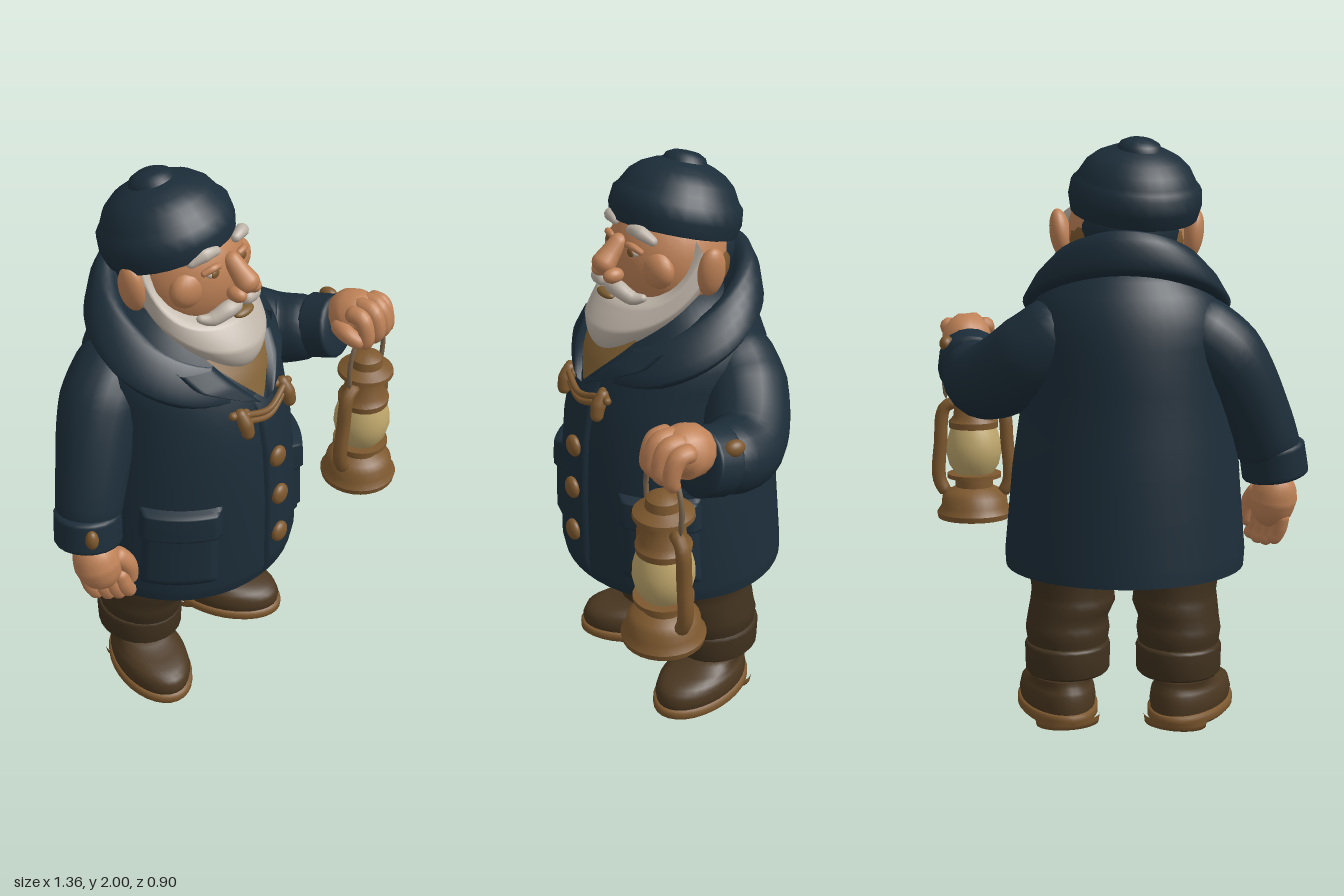
import * as THREE from 'three';
import { mergeVertices, toCreasedNormals } from 'three/addons/utils/BufferGeometryUtils.js';
import { ParametricGeometry } from 'three/addons/geometries/ParametricGeometry.js';

const material = (name, color, side = THREE.FrontSide) => {
  const m = new THREE.MeshStandardMaterial({ color, side });
  m.name = name;
  return m;
};
const M = {
  coat: material('navy wool', 0x1c2d39, THREE.DoubleSide),
  trousers: material('brown cloth', 0x40311e),
  boot: material('boot leather', 0x4a3720),
  brass: material('brass brown', 0x7d582e),
  skin: material('skin', 0xbf8257),
  white: material('white hair', 0xbeb4a8, THREE.DoubleSide),
  ochre: material('ochre knit', 0x806033, THREE.DoubleSide),
  glass: material('lamp glass', 0xbfa76c),
  sock: material('grey sock', 0x35363a),
  wire: material('wire', 0x77634c),
};

const lerp = THREE.MathUtils.lerp;
const TAU = Math.PI * 2;
const CX = -0.055; // body axis

export function createModel() {
  const root = new THREE.Group();
  root.name = 'sailorWithLantern';

  const add = (name, mat, geo, parent = root) => {
    const mesh = new THREE.Mesh(geo, mat);
    mesh.name = name;
    parent.add(mesh);
    return mesh;
  };
  const smooth = (geo) => {
    geo.deleteAttribute('uv');
    geo.deleteAttribute('normal');
    const g = mergeVertices(geo, 1e-5);
    g.computeVertexNormals();
    return g;
  };
  // Surface from a function (u, v) => [x, y, z]
  const surf = (name, mat, f, nu, nv, parent) =>
    add(name, mat, smooth(new ParametricGeometry((u, v, p) => p.set(...f(u, v)), nu, nv)), parent);
  // Point on stacked ellipses, each ring [y, cx, rx, zFront, zBack]
  const ringPoint = (rings, a, t) => {
    const i = Math.min(Math.floor(t), rings.length - 2);
    const [y, cx, rx, zf, zb] = rings[i].map((q, k) => lerp(q, rings[i + 1][k], t - i));
    return [cx + rx * Math.sin(a), y, (zf + zb) / 2 + ((zf - zb) / 2) * Math.cos(a)];
  };
  const loft = (name, mat, rings, parent, nu = 32) =>
    surf(name, mat, (u, v) => ringPoint(rings, u * TAU, v * (rings.length - 1)), nu, (rings.length - 1) * 2, parent);
  // Round-ended limb through points [x, y, z, radius]
  const limb = (name, mat, pts, cap = 1, radial = 14, parent = root) => {
    const curve = new THREE.CatmullRomCurve3(pts.map((p) => new THREE.Vector3(p[0], p[1], p[2])));
    const n = 24, L = curve.getLength();
    const geo = new THREE.TubeGeometry(curve, n, 1, radial);
    const pos = geo.attributes.position, v = new THREE.Vector3();
    for (let i = 0; i <= n; i++) {
      const u = i / n, c = curve.getPointAt(u), t = u * (pts.length - 1);
      const k = Math.min(Math.floor(t), pts.length - 2);
      const r = lerp(pts[k][3], pts[k + 1][3], t - k);
      const e = Math.min(1, (Math.min(u, 1 - u) * L) / (r * cap));
      const s = r * Math.sqrt(1 - (1 - e) ** 2);
      for (let j = 0; j <= radial; j++) {
        const q = i * (radial + 1) + j;
        v.fromBufferAttribute(pos, q).sub(c).multiplyScalar(s).add(c);
        pos.setXYZ(q, v.x, v.y, v.z);
      }
    }
    return add(name, mat, smooth(geo), parent);
  };
  const ball = (name, mat, p, s, parent) => {
    const m = add(name, mat, new THREE.SphereGeometry(1, 24, 16), parent);
    m.position.set(...p);
    m.scale.set(...s);
    return m;
  };
  const lathe = (name, mat, pts, parent) => add(name, mat, toCreasedNormals(
    new THREE.LatheGeometry(pts.map((p) => new THREE.Vector2(...p)), 28), 0.7), parent);

  // Coat body
  const torso = [
    [0.55, -0.05, 0.412, 0.32, -0.45], [0.6, -0.05, 0.416, 0.33, -0.447], [0.9, -0.052, 0.39, 0.325, -0.425],
    [1.1, CX, 0.363, 0.31, -0.405], [1.25, CX, 0.347, 0.28, -0.395], [1.38, CX, 0.345, 0.22, -0.375],
    [1.48, CX, 0.3, 0.15, -0.34], [1.58, CX, 0.21, 0.08, -0.27], [1.62, CX, 0, -0.1, -0.1],
  ];
  loft('coatBody', M.coat, torso, root, 48);
  const coatPoint = (a, y, off = 0) => {
    let i = 0;
    while (i < torso.length - 2 && torso[i + 1][0] < y) i++;
    const p = ringPoint(torso, a, i + (y - torso[i][0]) / (torso[i + 1][0] - torso[i][0]));
    return [p[0] + Math.sin(a) * off, p[1], p[2] + Math.cos(a) * off];
  };
  surf('coatUnderside', M.coat, (u, v) => {
    const [x, , z] = coatPoint(u * TAU, 0.55);
    return [lerp(-0.05, x, v), 0.55 + 0.07 * Math.min(1, (1 - v) * 5), lerp(-0.06, z, v)];
  }, 48, 10);
  // Raised panel that follows the coat
  const panel = (name, mat, a0, a1, y0, y1, t) => surf(name, mat, (u, v) =>
    coatPoint(lerp(a0, a1, u), lerp(y0, y1, v), t * Math.min(1, 10 * Math.min(u, 1 - u, v, 1 - v))), 20, 20);
  panel('buttonPlacket', M.coat, -0.1, 0.2, 0.555, 1.3, 0.014);
  for (const s of [-1, 1]) {
    const [lo, hi] = s < 0 ? [-1.27, -0.58] : [0.58, 1.27];
    panel('pocket', M.coat, lo, hi, 0.63, 0.9, 0.022);
    panel('pocketFlap', M.coat, lo - 0.03, hi + 0.03, 0.83, 0.95, 0.032);
  }

  // Buttons and toggle fastening
  for (const y of [1.06, 0.9, 0.73]) ball('button', M.brass, coatPoint(0.04, y, 0.02), [0.037, 0.039, 0.022]);
  for (const x of [-0.165, 0.065]) {
    limb('toggle', M.brass, [[x - 0.005, 1.3, 0.26, 0.018], [x, 1.25, 0.29, 0.025], [x + 0.005, 1.195, 0.302, 0.02]]);
    limb('toggleLoop', M.brass, [[x - 0.04, 1.285, 0.255, 0.014], [x + 0.04, 1.27, 0.275, 0.014]]);
  }
  for (const y of [1.265, 1.24]) limb('toggleCord', M.brass,
    [[-0.165, y + 0.015, 0.28, 0.011], [-0.05, y - 0.015, 0.3, 0.011], [0.065, y + 0.015, 0.28, 0.011]]);

  // Sweater opening
  surf('sweaterFront', M.ochre, (u, v) => coatPoint((u - 0.5) * 0.9 * v, lerp(1.29, 1.46, v), 0.018), 12, 8);
  limb('sweaterNeck', M.ochre, [[CX, 1.4, -0.03, 0.17], [CX, 1.6, -0.07, 0.17]], 0.3);

  // Folded collar, high at the back and open at the front: [rx, zFront, zBack, y, tilt]
  const collar = [
    [0.28, 0.17, -0.28, 1.42, 0.13], [0.34, 0.235, -0.33, 1.42, 0.135], [0.353, 0.252, -0.352, 1.445, 0.135],
    [0.315, 0.234, -0.348, 1.505, 0.142], [0.265, 0.207, -0.33, 1.552, 0.142], [0.235, 0.187, -0.295, 1.553, 0.145],
    [0.205, 0.15, -0.255, 1.51, 0.14], [0.17, 0.12, -0.2, 1.46, 0.13],
  ];
  surf('collar', M.coat, (u, v) => {
    const a = lerp(0.34, TAU - 0.34, u), t = v * 7, i = Math.min(6, Math.floor(t));
    const [rx, zf, zb, y, tilt] = collar[i].map((q, k) => lerp(q, collar[i + 1][k], t - i));
    return [CX + rx * Math.sin(a), y - tilt * Math.cos(a), (zf + zb) / 2 + ((zf - zb) / 2) * Math.cos(a)];
  }, 44, 14);
  // Flat lapels bordering the opening
  for (const s of [-1, 1]) surf('lapel', M.coat, (u, v) => coatPoint(
    s * (lerp(0.03, 0.4, v) + u * lerp(0.1, 0.42, Math.min(1, v * 1.6))), lerp(1.275, 1.44, v) + 0.03 * u * (1 - v),
    0.036 * Math.min(1, 6 * Math.min(u + 0.06, 1 - u, v + 0.06))), 14, 14);

  // Hanging right arm
  limb('rightSleeve', M.coat, [[-0.21, 1.41, -0.16, 0.13], [-0.375, 1.28, -0.135, 0.14],
    [-0.5, 1.06, -0.085, 0.122], [-0.57, 0.88, -0.055, 0.105]], 0.8, 20);
  limb('rightCuff', M.coat, [[-0.55, 0.98, -0.065, 0.113], [-0.572, 0.84, -0.05, 0.115]], 0.2, 20);
  ball('cuffButton', M.brass, [-0.637, 0.94, 0.03], [0.022, 0.036, 0.022]);
  limb('rightPalm', M.skin, [[-0.572, 0.87, -0.045, 0.065], [-0.565, 0.765, -0.02, 0.084], [-0.55, 0.665, 0, 0.065]]);
  for (let j = 0; j < 4; j++) {
    const x = -0.595 + j * 0.025, z = -0.05 + j * 0.027;
    limb('rightFinger', M.skin, [[x, 0.73, z, 0.03], [x + 0.015, 0.645, z + 0.02, 0.03],
      [x + 0.04, 0.59 + Math.abs(j - 1.5) * 0.012, z + 0.025, 0.024]], 1, 10);
  }
  limb('rightThumb', M.skin, [[-0.53, 0.8, 0.01, 0.038], [-0.49, 0.74, 0.045, 0.032], [-0.478, 0.65, 0.05, 0.023]]);

  // Bent left arm with the lantern hand
  limb('leftSleeve', M.coat, [[0.09, 1.42, -0.17, 0.13], [0.26, 1.27, -0.15, 0.152],
    [0.43, 1.175, -0.035, 0.135], [0.505, 1.22, 0.15, 0.11]], 0.8, 20);
  limb('leftCuff', M.coat, [[0.495, 1.2, 0.08, 0.118], [0.512, 1.235, 0.205, 0.113]], 0.2, 20);
  ball('cuffButton', M.brass, [0.583, 1.29, 0.1], [0.025, 0.028, 0.036]);
  limb('leftPalm', M.skin, [[0.515, 1.24, 0.16, 0.075], [0.53, 1.3, 0.25, 0.09], [0.535, 1.3, 0.33, 0.075]]);
  for (let j = 0; j < 4; j++) {
    const x = 0.468 + j * 0.044, d = Math.abs(j - 1.4) * 0.014;
    limb('leftFinger', M.skin, [[x, 1.355 - d, 0.25, 0.032], [x, 1.35 - d, 0.335 - d, 0.032],
      [x, 1.27 - d, 0.358 - d, 0.029], [x, 1.23, 0.31, 0.025]], 1, 10);
  }
  limb('leftThumb', M.skin, [[0.47, 1.28, 0.21, 0.036], [0.437, 1.27, 0.28, 0.031], [0.455, 1.24, 0.34, 0.025]]);

  // Lantern
  const lantern = new THREE.Group();
  lantern.name = 'lantern';
  lantern.position.set(0.519, 0, 0.315);
  root.add(lantern);
  lathe('lanternBase', M.brass, [[0, 0.62], [0.136, 0.62], [0.14, 0.64], [0.124, 0.665], [0.12, 0.7], [0.1, 0.72],
    [0.07, 0.735], [0.07, 0.765], [0.1, 0.77], [0.1, 0.785], [0, 0.79]], lantern);
  lathe('lanternGlass', M.glass, [[0.07, 0.785], [0.092, 0.82], [0.102, 0.865], [0.1, 0.9], [0.09, 0.94], [0.08, 0.965]], lantern);
  lathe('lanternTop', M.brass, [[0, 0.955], [0.09, 0.957], [0.092, 0.98], [0.074, 1], [0.068, 1.07], [0.1, 1.085],
    [0.098, 1.1], [0.06, 1.12], [0.055, 1.15], [0.03, 1.165], [0, 1.165]], lantern);
  for (const s of [-1, 1]) limb('lanternSideTube', M.brass, [[s * 0.1, 0.7, 0, 0.024], [s * 0.13, 0.76, 0, 0.026],
    [s * 0.124, 0.9, 0, 0.025], [s * 0.106, 1.03, 0, 0.025], [s * 0.05, 1.055, 0, 0.022]], 1, 10, lantern);
  limb('lanternHandle', M.wire, [[-0.1, 1.06, 0, 0.009], [-0.105, 1.17, 0, 0.009], [-0.07, 1.25, 0, 0.009],
    [0, 1.28, 0, 0.009], [0.07, 1.25, 0, 0.009], [0.105, 1.17, 0, 0.009], [0.1, 1.06, 0, 0.009]], 1, 8, lantern);

  // Legs and boots
  for (const [side, x0, x1, turn] of [['right', -0.225, -0.238, -0.4], ['left', 0.13, 0.147, 0.32]]) {
    loft(side + 'TrouserLeg', M.trousers, [[0.2, x1, 0.125, 0.0, -0.27], [0.28, x1, 0.138, 0.03, -0.28],
      [0.33, x1, 0.146, 0.045, -0.285], [0.37, x1, 0.14, 0.05, -0.275], [0.42, x0, 0.148, 0.075, -0.275],
      [0.46, x0, 0.143, 0.08, -0.265], [0.54, x0, 0.155, 0.11, -0.265], [0.66, x0, 0.16, 0.11, -0.265]], root, 24);
    loft(side + 'TrouserCuff', M.trousers, [[0.185, x1, 0.09, -0.04, -0.22], [0.18, x1, 0.138, 0.02, -0.28],
      [0.19, x1, 0.146, 0.03, -0.292], [0.275, x1, 0.148, 0.034, -0.295], [0.288, x1, 0.142, 0.025, -0.285],
      [0.288, x1, 0.11, 0, -0.25]], root, 24);
    const foot = new THREE.Group();
    foot.name = side + 'Boot';
    foot.position.set(x1 + 0.032 * Math.sign(turn), 0, -0.078);
    foot.rotation.y = turn;
    root.add(foot);
    limb('sock', M.sock, [[0, 0.1, -0.045, 0.092], [0, 0.24, -0.05, 0.092]], 0.1, 16, foot);
    loft('bootUpper', M.boot, [[0.04, 0, 0.122, 0.24, -0.18], [0.075, 0, 0.128, 0.246, -0.18], [0.11, 0, 0.122, 0.232, -0.175],
      [0.13, 0, 0.108, 0.19, -0.165], [0.145, 0, 0.102, 0.11, -0.158], [0.165, 0, 0.102, 0.055, -0.155], [0.165, 0, 0, -0.04, -0.04]], foot);
    loft('bootSole', M.brass, [[0.008, 0, 0, 0.03, 0.03], [0.008, 0, 0.124, 0.24, -0.18], [0.02, 0, 0.135, 0.255, -0.19],
      [0.045, 0, 0.135, 0.255, -0.19], [0.052, 0, 0.12, 0.24, -0.175]], foot);
    loft('bootHeel', M.brass, [[0, 0, 0, -0.1, -0.1], [0, 0, 0.11, -0.03, -0.185], [0.03, 0, 0.115, -0.02, -0.19]], foot);
  }

  // Head
  ball('head', M.skin, [CX, 1.68, -0.05], [0.2, 0.22, 0.2]);
  ball('sideHair', M.brass, [CX, 1.66, -0.085], [0.193, 0.15, 0.17]);
  ball('hatNape', M.coat, [CX - 0.01, 1.69, -0.14], [0.165, 0.14, 0.145]);
  limb('nose', M.skin, [[-0.05, 1.775, 0.12, 0.026], [-0.048, 1.725, 0.168, 0.034], [-0.042, 1.668, 0.222, 0.047]]);
  ball('mouth', M.ochre, [-0.05, 1.587, 0.19], [0.045, 0.015, 0.022]);
  for (const s of [-1, 1]) {
    ball('cheek', M.skin, [CX + s * 0.09, 1.685, 0.06], [0.1, 0.075, 0.055]);
    ball('nostril', M.skin, [-0.044 + s * 0.038, 1.662, 0.185], [0.026, 0.026, 0.036]);
    ball('ear', M.skin, [CX + s * 0.222, 1.68, -0.075], [0.036, 0.085, 0.05]).rotation.z = -s * 0.15;
    ball('eye', M.white, [CX + s * 0.072, 1.737, 0.122], [0.024, 0.014, 0.015]);
    ball('iris', M.brass, [CX + s * 0.07, 1.737, 0.134], [0.018, 0.014, 0.007]);
    limb('upperLid', M.skin, [[CX + s * 0.04, 1.755, 0.133, 0.01], [CX + s * 0.075, 1.76, 0.132, 0.012],
      [CX + s * 0.112, 1.742, 0.11, 0.01]], 1, 8);
    limb('eyebrow', M.white, [[CX + s * 0.035, 1.803, 0.122, 0.014], [CX + s * 0.085, 1.81, 0.114, 0.023],
      [CX + s * 0.145, 1.78, 0.08, 0.013]], 1, 10);
    limb('moustache', M.white, [[CX + s * 0.005, 1.622, 0.182, 0.024], [CX + s * 0.06, 1.62, 0.176, 0.028],
      [CX + s * 0.11, 1.598, 0.15, 0.024], [CX + s * 0.15, 1.608, 0.12, 0.01]]);
  }
  // Beard: wraps the jaw, rises to sideburns and juts forward at the chin
  surf('beard', M.white, (u, v) => {
    const s = u * 2 - 1, a = s * 1.65;
    const y = lerp(1.38 + 0.15 * s * s, 1.585 + 0.19 * s ** 4, v);
    const k = Math.min(1, 0.25 + 0.75 * (v * 2) ** 0.3) * (v > 0.9 ? 1 - (v - 0.9) * 1.6 : 1);
    const bulge = 0.12 * (1 - v) + 0.02 * Math.sin(Math.PI * v);
    return [CX + Math.sin(a) * 0.218 * k, y, -0.03 + Math.cos(a) * (0.192 * k + bulge)];
  }, 36, 24);

  // Knitted hat, tipped back
  const hat = lathe('hat', M.coat, [[0.15, 0.03], [0.19, -0.004], [0.214, 0.004], [0.224, 0.05], [0.218, 0.1], [0.203, 0.116],
    [0.195, 0.13], [0.176, 0.163], [0.142, 0.192], [0.1, 0.212], [0.074, 0.22], [0.066, 0.236], [0.043, 0.248], [0, 0.253]]);
  hat.position.set(-0.079, 1.75, -0.08);
  hat.rotation.set(-0.28, 0, 0.09);
  return root;
}
